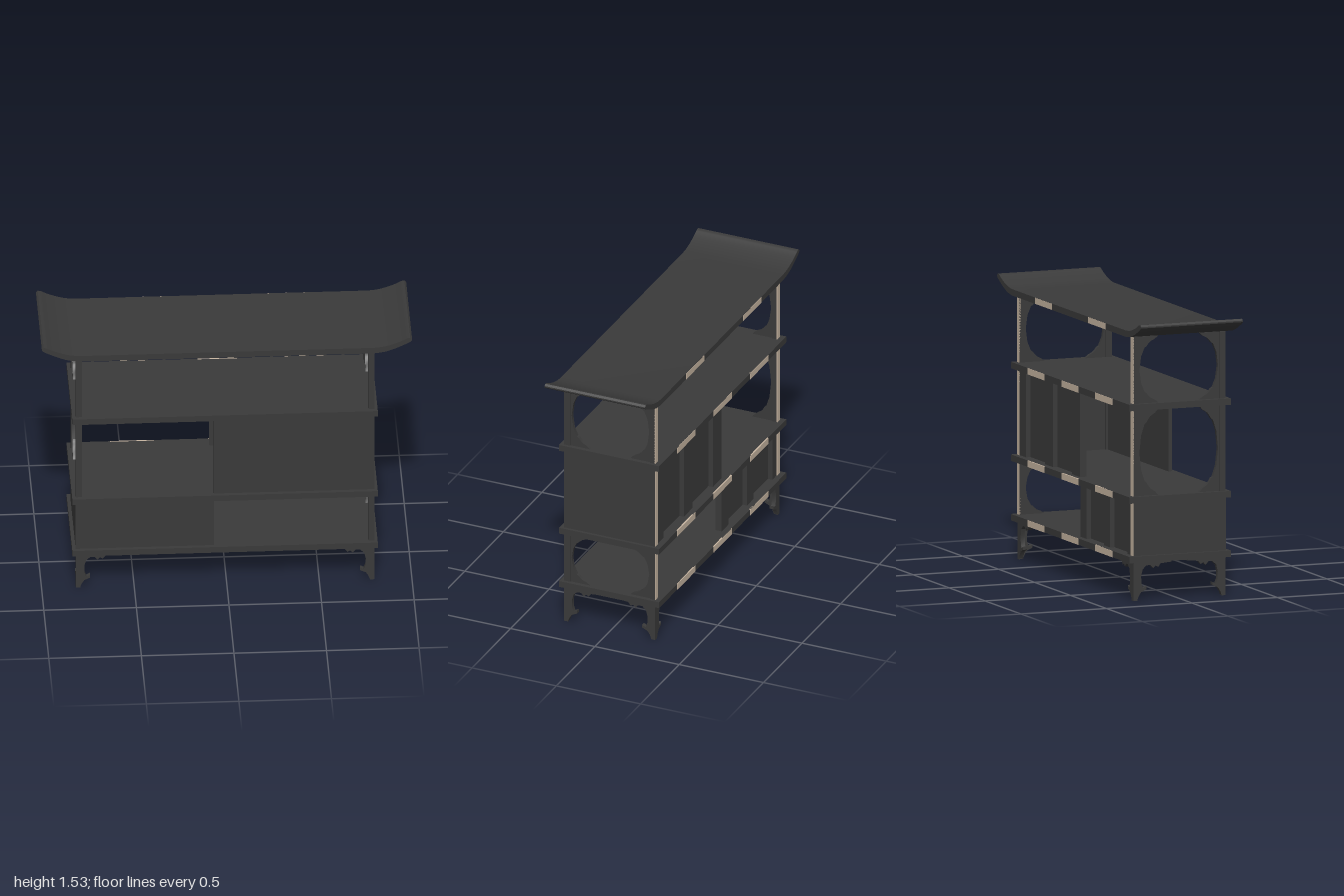
import * as THREE from 'three';
import { toCreasedNormals } from 'three/addons/utils/BufferGeometryUtils.js';

const dark = new THREE.MeshStandardMaterial({ color: 0x3a3a3a });
const tan = new THREE.MeshStandardMaterial({ color: 0xc8b6a2 });

const XL = -0.815, XR = 0.797;      // outer faces of the side frames
const ZF = 0.275, ZB = -0.265;      // front and back of the frames
const POST = 0.032;
const TIERS = [[0.245, 0.535], [0.57, 1.04], [1.075, 1.44]];

// Box given by its limits on each axis
function box(parent, name, x0, x1, y0, y1, z0, z1, mat = dark) {
  const mesh = new THREE.Mesh(new THREE.BoxGeometry(x1 - x0, y1 - y0, z1 - z0), mat);
  mesh.position.set((x0 + x1) / 2, (y0 + y1) / 2, (z0 + z1) / 2);
  mesh.name = name;
  parent.add(mesh);
}

// Flat board: outline [u, y] extruded along z, or across x when alongZ is set
function board(parent, name, pts, thickness, alongZ, start) {
  const shape = new THREE.Shape(pts.map(([u, y]) => new THREE.Vector2(u, y)));
  const geo = new THREE.ExtrudeGeometry(shape, { depth: thickness, bevelEnabled: false });
  if (alongZ) {
    geo.rotateY(-Math.PI / 2);          // u -> +z, depth -> -x
    geo.translate(start + thickness, 0, 0);
  } else geo.translate(0, 0, start);
  const mesh = new THREE.Mesh(toCreasedNormals(geo, 0.5), dark);
  mesh.name = name;
  parent.add(mesh);
}

// Scalloped foot, measured from its outer corner
const FOOT = [
  [0, 0], [0.024, 0.004], [0.032, 0.025], [0.045, 0.045], [0.077, 0.06], [0.077, 0.077],
  [0.057, 0.067], [0.047, 0.093], [0.046, 0.134], [0.055, 0.17], [0.077, 0.19], [0.1, 0.191],
  [0.117, 0.172], [0.13, 0.187], [0.146, 0.178], [0.16, 0.197], [0.223, 0.202], [0.223, 0.212], [0, 0.212],
];

// Half of the rounded side opening: [z, fraction of tier height]
const ARCH = [
  [0.12, 1], [0.14, 0.955], [0.166, 0.92], [0.182, 0.875], [0.188, 0.85], [0.2, 0.83], [0.22, 0.7],
];
const OPENING = [...ARCH, [0.23, 0.5], ...ARCH.map(([z, t]) => [z, 1 - t]).reverse()];

export function createModel() {
  const model = new THREE.Group();
  model.name = 'shelfCabinet';

  // Shelves with pale blocks along the back edge
  for (const [y0, y1] of [[0.21, 0.245], [0.535, 0.57], [1.04, 1.075]]) {
    box(model, 'shelf', -0.835, 0.815, y0, y1, -0.296, 0.298);
    for (const i of [1, 3, 5]) {
      const x = 0.815 - i * 0.2357;
      box(model, 'shelfEdgeInlay', x - 0.2357, x, y0, y1, -0.298, -0.29, tan);
    }
  }

  // Roof board with upswept ends
  const upper = [[0.79, 1.475], [0.84, 1.48], [0.89, 1.493], [0.94, 1.512], [0.975, 1.53]];
  const lower = [[1, 1.523], [0.995, 1.51], [0.95, 1.486], [0.9, 1.464], [0.85, 1.448], [0.79, 1.44]];
  const smooth = (p, n) => new THREE.SplineCurve(p.map(([x, y]) => new THREE.Vector2(x, y)))
    .getPoints(n).map(v => [v.x, v.y]);
  const end = [...smooth(upper, 12), [0.99, 1.532], ...smooth(lower, 14)];
  const flip = end.map(([x, y]) => [-x, y]).reverse();
  board(model, 'roof', [...end, ...flip], 0.596, false, -0.298);
  for (const x of [0.235, -0.505]) box(model, 'roofEdgeInlay', x, x + 0.2357, 1.441, 1.474, -0.3, -0.29, tan);

  // Side frames: posts, then a solid panel or a rounded opening in each tier
  for (const side of [-1, 1]) {
    const x0 = side < 0 ? XL : XR - POST, x1 = x0 + POST;
    const solidTier = side < 0 ? 0 : 1;
    TIERS.forEach(([y0, y1], tier) => {
      box(model, 'frontPost', x0, x1, y0, y1, ZF - 0.035, ZF);
      box(model, 'backPost', x0, x1, y0, y1, ZB, ZB + 0.03);
      box(model, 'backPostInlay', x0, x1, y0, y1, ZB - 0.002, ZB + 0.004, tan);
      if (tier === solidTier) {
        const face = side < 0 ? x0 - 0.001 : x1 - 0.019;
        box(model, 'sidePanel', face, face + 0.02, y0, y1, ZB, ZF);
        return;
      }
      for (const s of [-1, 1]) {
        const pts = [[0.245, y1], ...OPENING.map(([z, t]) => [z, y0 + t * (y1 - y0)]), [0.245, y0]];
        board(model, 'archBracket', pts.map(([z, y]) => [s * z + 0.003, y]), 0.02, true, x0 + 0.006);
      }
    });
  }

  // Cupboards: plain front board, framed back board
  const cupboards = [
    { name: 'lowerCupboard', x0: XL, x1: -0.07, tier: 0, stile: 0.085 },
    { name: 'upperCupboard', x0: -0.07, x1: XR, tier: 1, stile: 0.11 },
  ];
  for (const { name, x0, x1, tier, stile } of cupboards) {
    const group = new THREE.Group();
    group.name = name;
    model.add(group);
    const [y0, y1] = TIERS[tier];
    box(group, 'frontPanel', x0, x1, y0, y1, ZF - 0.022, ZF + 0.001);
    box(group, 'backPanel', x0 + 0.005, x1 - 0.005, y0, y1, ZB + 0.03, ZB + 0.042);
    for (const x of [x0 + 0.002, (x0 + x1 - stile) / 2, x1 - stile - 0.002])
      box(group, 'backStile', x, x + stile, y0, y1, ZB + 0.003, ZB + 0.035);
  }

  // Corner feet: two scalloped boards meeting at each corner
  for (const sx of [-1, 1]) {
    for (const sz of [-1, 1]) {
      const foot = new THREE.Group();
      foot.name = 'foot';
      model.add(foot);
      const cx = sx < 0 ? XL : XR, cz = sz < 0 ? ZB : ZF, t = 0.024;
      board(foot, 'footFace', FOOT.map(([u, y]) => [cx - sx * u, y]), t, false, sz < 0 ? cz : cz - t);
      board(foot, 'footSide', FOOT.map(([u, y]) => [cz - sz * u, y]), t, true, sx < 0 ? cx : cx - t);
    }
  }
  return model;
}
